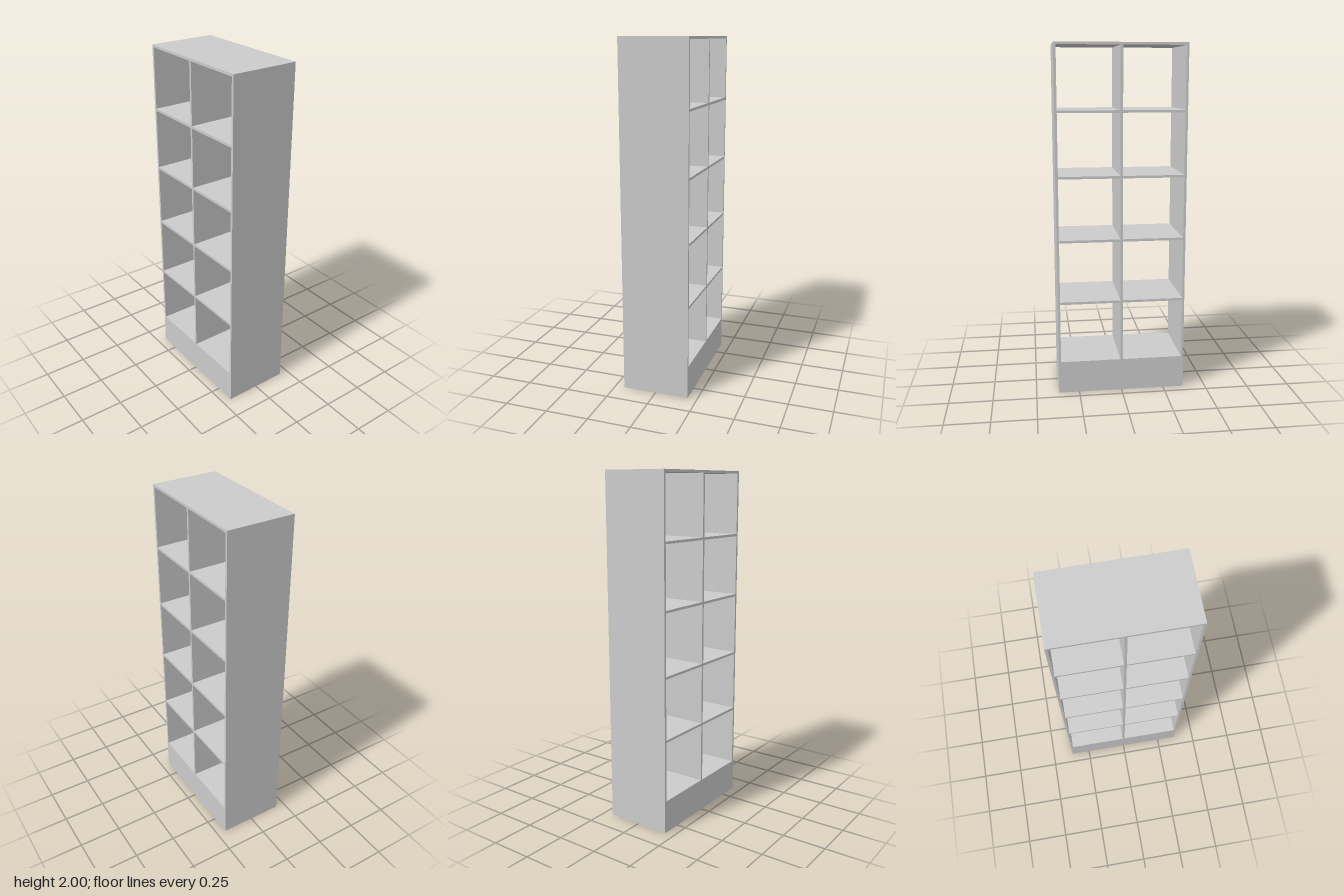
import * as THREE from 'three';

const W = 0.738, H = 2, D = 0.39;   // overall size
const T = 0.014;                    // board thickness
const BASE = 0.19;                  // plinth height
const ROWS = 5;

export function createModel() {
  const group = new THREE.Group();
  const material = new THREE.MeshStandardMaterial({ color: 0xcccccc });

  const board = (name, w, h, d, x, y, z) => {
    const mesh = new THREE.Mesh(new THREE.BoxGeometry(w, h, d), material);
    mesh.name = name;
    mesh.position.set(x, y, z);
    group.add(mesh);
  };

  // Full-height sides
  for (const [name, s] of [['leftSide', 1], ['rightSide', -1]]) {
    board(name, T, H, D, s * (W - T) / 2, H / 2, 0);
  }

  // Evenly spaced boards: bottom shelf, four middle shelves, top
  const inner = W - 2 * T;
  const low = BASE - T / 2, high = H - T / 2;
  const step = (high - low) / ROWS;
  for (let i = 0; i <= ROWS; i++) {
    const name = i === 0 ? 'bottomShelf' : i === ROWS ? 'topBoard' : 'shelf' + i;
    board(name, inner, T, D, 0, low + i * step, 0);
  }

  // Central divider, one upright in each row
  for (let i = 0; i < ROWS; i++) {
    board('divider' + (i + 1), T, step - T, D, 0, low + (i + 0.5) * step, 0);
  }

  // Plinth, closed at front and back and open underneath
  const P = 0.006, plinthHeight = BASE - T;
  for (const [name, s] of [['frontPlinth', 1], ['backPlinth', -1]]) {
    board(name, inner, plinthHeight, P, 0, plinthHeight / 2, s * (D - P) / 2);
  }

  return group;
}
